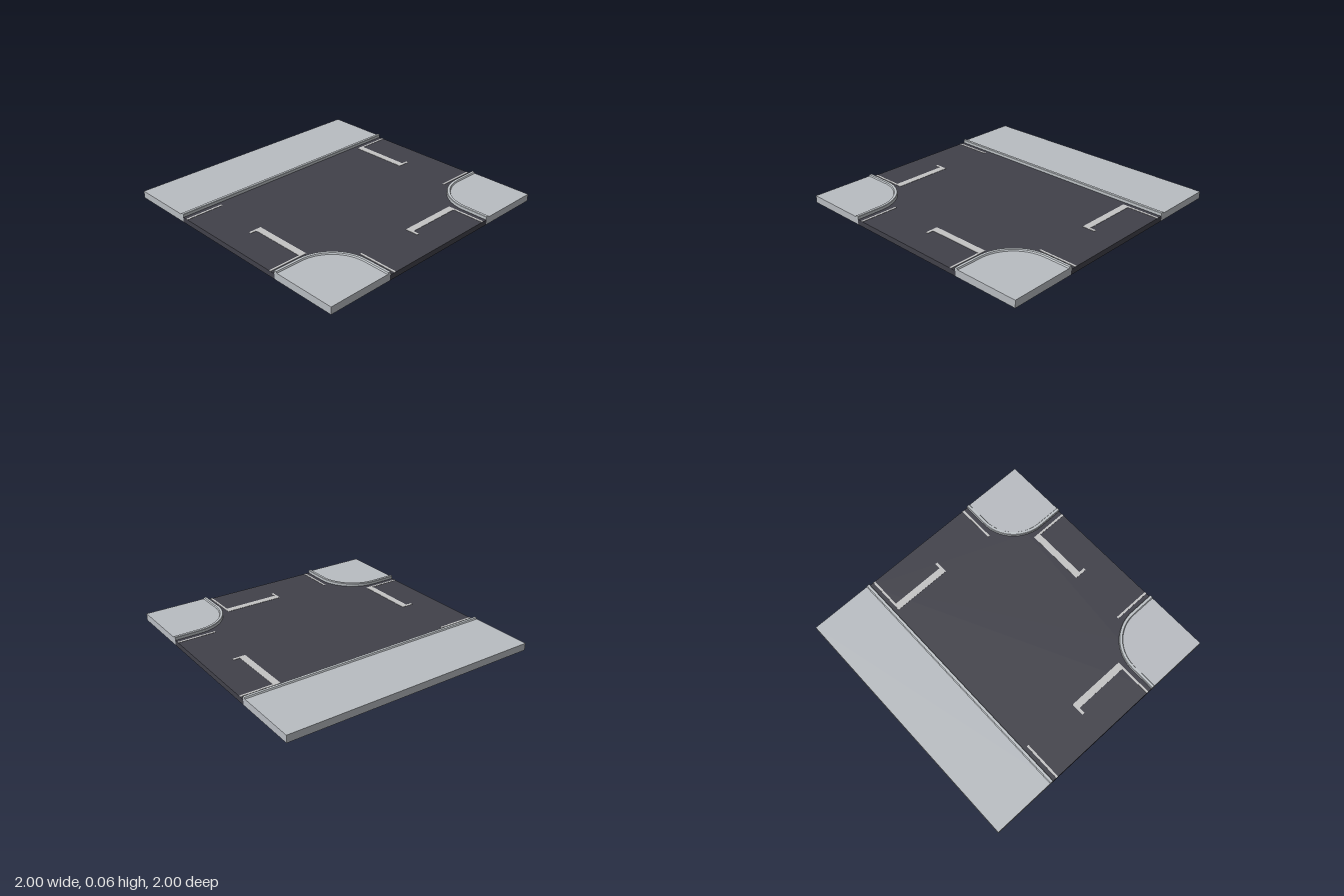
import * as THREE from 'three';

const mat = (name, color, opts = {}) => {
  const m = new THREE.MeshStandardMaterial({ color, ...opts });
  m.name = name;
  return m;
};

const ROAD_Y = 0.04, PAVE_Y = 0.055, KERB_Y = 0.065;
const EDGE = 0.49;      // distance of the kerb face from the road centre line
const ARC = 0.8;        // centre of the rounded corners
const STEPS = 20;

// Flat outline (x, z) extruded upwards from y = 0
function slab(points, height) {
  const shape = new THREE.Shape(points.map(([x, z]) => new THREE.Vector2(x, -z)));
  const geo = new THREE.ExtrudeGeometry(shape, { depth: height, bevelEnabled: false });
  return geo.rotateX(-Math.PI / 2);
}

// Kerb line of the front corner on side s, moved d into the pavement
function cornerLine(s, d) {
  const r = ARC - EDGE - d, pts = [[s, EDGE + d]];
  for (let i = 0; i <= STEPS; i++) {
    const a = (i / STEPS) * Math.PI / 2;
    pts.push([s * (ARC - r * Math.sin(a)), ARC - r * Math.cos(a)]);
  }
  pts.push([s * (EDGE + d), 1]);
  return pts;
}

const backLine = (s, d) => [[-1, -EDGE - d], [1, -EDGE - d]];

// Kerb cross-section: [distance into the pavement, height]
const KERB = [[0, 0.036], [0, KERB_Y - 0.003], [0.003, KERB_Y], [0.022, KERB_Y], [0.028, PAVE_Y - 0.001], [0.028, 0.036]];

// Sweep the kerb section along a line and close both ends
function kerbGeometry(line, flip) {
  const rails = KERB.map(([d, y]) => line(d).map(([x, z]) => [x, y, z]));
  const n = rails.length, count = rails[0].length, pos = [];
  const tri = (a, b, c) => pos.push(...a, ...(flip ? c : b), ...(flip ? b : c));
  for (let j = 0; j < n; j++) {
    const p = rails[j], q = rails[(j + 1) % n];
    for (let i = 0; i < count - 1; i++) {
      tri(p[i], p[i + 1], q[i + 1]);
      tri(p[i], q[i + 1], q[i]);
    }
  }
  for (let j = 1; j < n - 1; j++) {
    tri(rails[0][0], rails[j][0], rails[j + 1][0]);
    tri(rails[0][count - 1], rails[j + 1][count - 1], rails[j][count - 1]);
  }
  const geo = new THREE.BufferGeometry();
  geo.setAttribute('position', new THREE.Float32BufferAttribute(pos, 3));
  geo.computeVertexNormals();
  return geo;
}

export function createModel() {
  const asphalt = mat('asphalt', 0x41414a);
  const paving = mat('paving', 0xb9bdc2);
  const kerbStone = mat('kerb stone', 0xbfc4c8, { side: THREE.DoubleSide });
  const paint = mat('road paint', 0xc4c4c4);

  const model = new THREE.Group();
  model.name = 'roadJunction';
  const add = (parent, name, geo, material) => {
    const mesh = new THREE.Mesh(geo, material);
    mesh.name = name;
    parent.add(mesh);
    return mesh;
  };

  // T-shaped road surface
  const inset = 0.005;
  add(model, 'roadSurface', slab([
    ...backLine(1, inset),
    ...cornerLine(1, inset),
    ...cornerLine(-1, inset).reverse(),
  ], ROAD_Y), asphalt);

  // Pavement and kerb along the back
  add(model, 'backPavement', slab([[-1, -1], [1, -1], [1, -EDGE - inset], [-1, -EDGE - inset]], PAVE_Y), paving);
  add(model, 'backKerb', kerbGeometry((d) => backLine(1, d), true), kerbStone);

  // Rounded pavements and kerbs at the front corners
  for (const [s, side] of [[1, 'left'], [-1, 'right']]) {
    add(model, side + 'CornerPavement', slab([...cornerLine(s, inset), [s, 1]], PAVE_Y), paving);
    add(model, side + 'CornerKerb', kerbGeometry((d) => cornerLine(s, d), s > 0), kerbStone);
  }

  // Painted lines of one arm: [x0, x1, z0, z1], turned for the side arms
  const lines = {
    edgeLineNear: [0.441, 0.457, 0.752, 1],
    edgeLineFar: [-0.457, -0.441, 0.7, 1],
    stopLine: [-0.01, 0.457, 0.7, 0.752],
    centreLine: [-0.01, 0.01, 0.752, 0.8],
  };
  for (const [arm, turn] of [['front', 0], ['left', 1], ['right', -1]]) {
    const group = new THREE.Group();
    group.name = arm + 'ArmMarkings';
    group.rotation.y = turn * Math.PI / 2;
    for (const [name, [x0, x1, z0, z1]] of Object.entries(lines)) {
      const plate = add(group, name, new THREE.BoxGeometry(x1 - x0, 0.003, z1 - z0), paint);
      plate.position.set((x0 + x1) / 2, ROAD_Y + 0.0005, (z0 + z1) / 2);
    }
    model.add(group);
  }
  return model;
}
